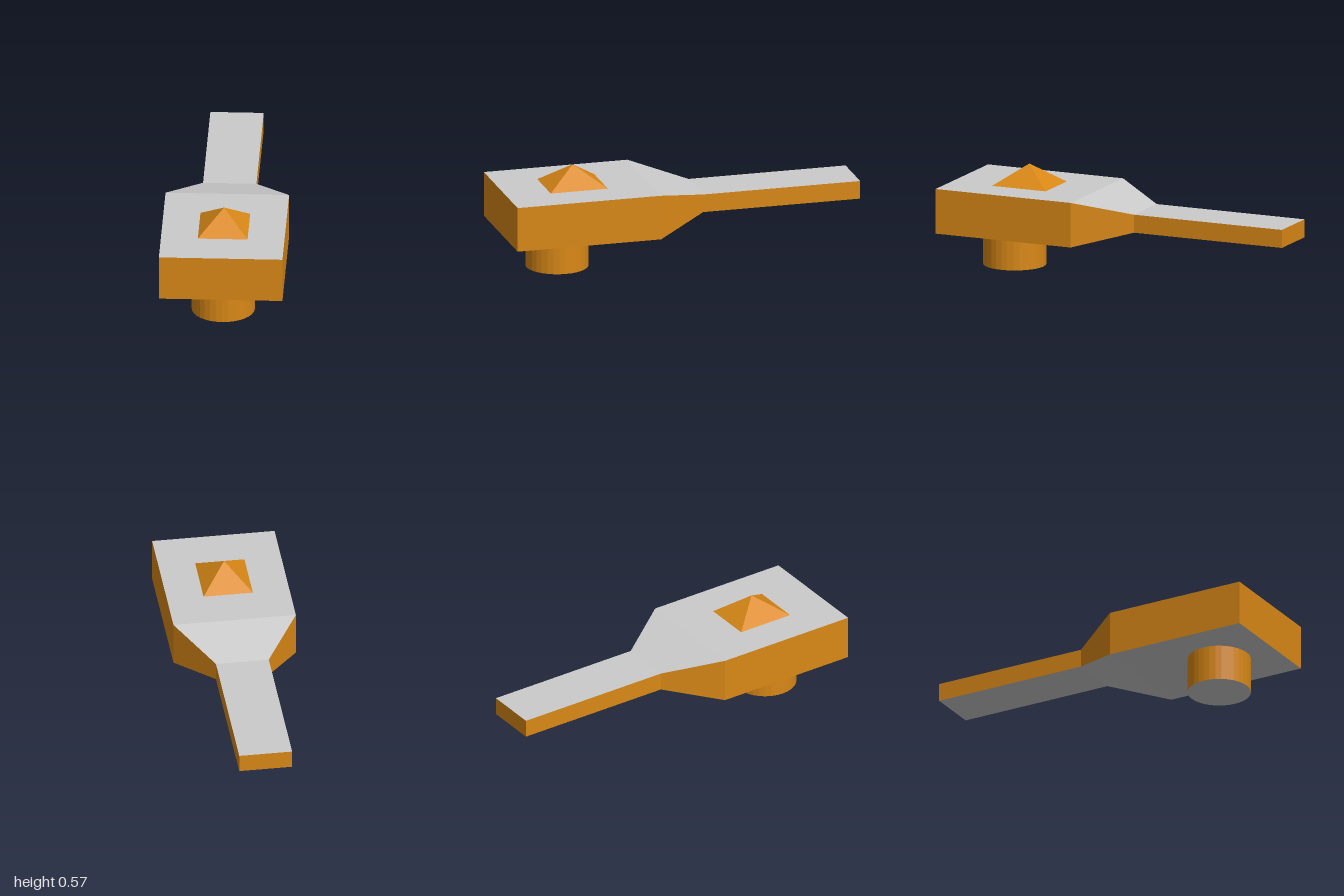
import * as THREE from 'three';

const grey = new THREE.MeshStandardMaterial({ color: 0xcccccc, flatShading: true });
const orange = new THREE.MeshStandardMaterial({ color: 0xd98816, flatShading: true });

// Flat quads, corners counter-clockwise seen from outside
function quadMesh(name, quads, material) {
  const points = quads.flatMap(([a, b, c, d]) => [a, b, c, a, c, d]);
  const geometry = new THREE.BufferGeometry();
  geometry.setAttribute('position', new THREE.Float32BufferAttribute(points.flat(), 3));
  geometry.computeVertexNormals();
  const mesh = new THREE.Mesh(geometry, material);
  mesh.name = name;
  return mesh;
}

// Rectangular cross-sections of the body from front to back
const sections = [
  { z: 1, w: 0.338, bottom: 0.206, top: 0.456 },
  { z: 0.185, w: 0.338, bottom: 0.206, top: 0.456 },
  { z: -0.108, w: 0.146, bottom: 0.278, top: 0.379 },
  { z: -1, w: 0.146, bottom: 0.278, top: 0.379 },
];

function createBody() {
  const rings = sections.map(({ z, w, bottom, top }) => [
    [-w, bottom, z], [w, bottom, z], [w, top, z], [-w, top, z],
  ]);
  const back = rings[rings.length - 1];
  const plates = [];
  const walls = [rings[0], [back[1], back[0], back[3], back[2]]];
  for (let i = 0; i < rings.length - 1; i++) {
    const f = rings[i], r = rings[i + 1];
    for (let k = 0; k < 4; k++) {
      const n = (k + 1) % 4;
      (k % 2 ? walls : plates).push([f[n], f[k], r[k], r[n]]);
    }
  }
  const body = new THREE.Group();
  body.name = 'body';
  body.add(quadMesh('topAndBottomPlates', plates, grey), quadMesh('sideWalls', walls, orange));
  return body;
}

export function createModel() {
  const model = new THREE.Group();
  model.add(createBody());

  // Pyramid stud on the wide head
  const studGeometry = new THREE.ConeGeometry(Math.SQRT1_2, 1, 4, 1, true)
    .rotateY(Math.PI / 4)
    .scale(0.272, 0.113, 0.324);
  const stud = new THREE.Mesh(studGeometry, orange);
  stud.name = 'pyramidStud';
  stud.position.set(0, 0.5125, 0.592);
  model.add(stud);

  // Round foot below the head, with grey end caps
  const foot = new THREE.Mesh(
    new THREE.CylinderGeometry(0.173, 0.173, 0.2, 32),
    [orange, grey, grey],
  );
  foot.name = 'roundFoot';
  foot.position.set(0, 0.1, 0.68);
  model.add(foot);

  return model;
}
